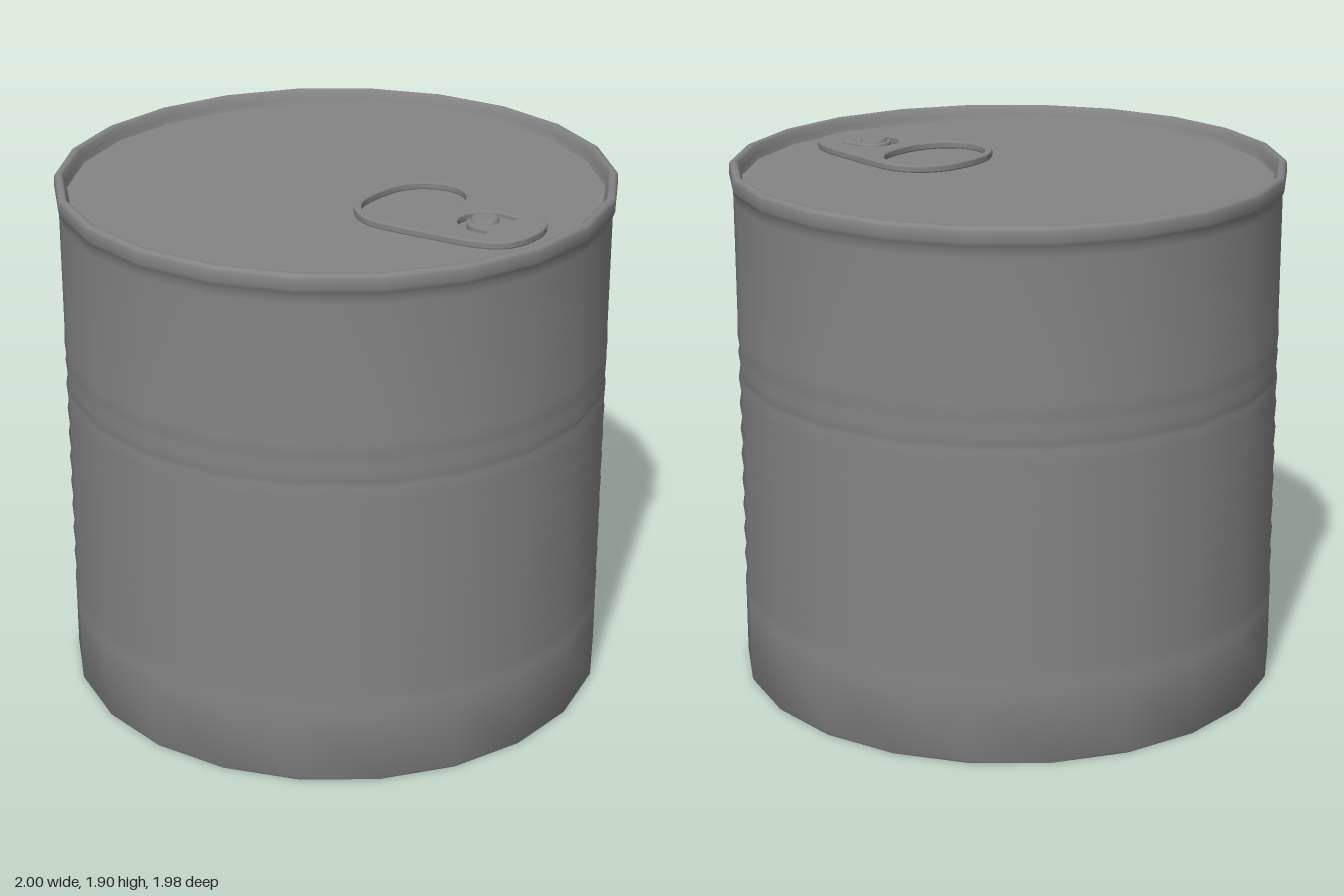
import * as THREE from 'three';
import { toCreasedNormals } from 'three/addons/utils/BufferGeometryUtils.js';

const SIDES = 22;
const LID_Y = 1.85;
const material = new THREE.MeshStandardMaterial({ color: 0x848484 });

function addMesh(group, name, geometry, crease = 0.8) {
  const mesh = new THREE.Mesh(toCreasedNormals(geometry, crease), material);
  mesh.name = name;
  group.add(mesh);
  return mesh;
}

// Revolve [radius, height] pairs, with a corner on the x axis
function revolve(profile, sides = SIDES) {
  const points = profile.map(([r, y]) => new THREE.Vector2(r, y));
  return new THREE.LatheGeometry(points, sides, Math.PI / 2);
}

// Closed smooth outline mirrored in x; half runs from the low to the high end on x > 0
function mirroredCurve(half) {
  const right = half.map(([x, y]) => new THREE.Vector2(x, y));
  const left = half.filter(([x]) => x > 0).reverse().map(([x, y]) => new THREE.Vector2(-x, y));
  return new THREE.SplineCurve([...right, ...left, right[0].clone()]).getPoints(56).slice(0, -1);
}

// Plate drawn in x and z, with its top face at the given height
function plate(shape, top, depth, bevel) {
  const geometry = new THREE.ExtrudeGeometry(shape, {
    depth: depth - 2 * bevel, bevelEnabled: true, bevelThickness: bevel,
    bevelSize: bevel, bevelOffset: -bevel, bevelSegments: 2, curveSegments: 12,
  });
  return geometry.rotateX(Math.PI / 2).translate(0, top - bevel, 0);
}

function createPullTab() {
  const tab = new THREE.Group();
  tab.name = 'pullTab';

  const outline = new THREE.Shape(mirroredCurve([
    [0, 0.175], [0.1, 0.187], [0.185, 0.235], [0.235, 0.32], [0.238, 0.42],
    [0.208, 0.59], [0.178, 0.74], [0.125, 0.83], [0.06, 0.862], [0, 0.867],
  ]));
  // Finger opening
  outline.holes.push(new THREE.Path(mirroredCurve([
    [0, 0.202], [0.1, 0.214], [0.175, 0.265], [0.207, 0.35],
    [0.185, 0.43], [0.11, 0.488], [0, 0.506],
  ])));
  // Curved slot around the rivet, with rounded ends
  const slot = new THREE.Path();
  slot.moveTo(0.1, 0.715);
  slot.absarc(0, 0.67, 0.1, 0, Math.PI, true);
  slot.absarc(-0.085, 0.715, 0.015, Math.PI, 0, true);
  slot.absarc(0, 0.67, 0.07, Math.PI, 0, false);
  slot.absarc(0.085, 0.715, 0.015, Math.PI, 0, true);
  outline.holes.push(slot);
  addMesh(tab, 'tabPlate', plate(outline, LID_Y + 0.03, 0.028, 0.006), 0.3);

  const rivet = addMesh(tab, 'rivet', revolve(
    [[0.05, 0], [0.05, 0.035], [0.043, 0.043], [0, 0.045]], 20));
  rivet.position.set(0, LID_Y, 0.66);
  return tab;
}

export function createModel() {
  const group = new THREE.Group();
  group.name = 'can';

  // Side wall: one row per ridge and groove, so the ripples shade softly
  const wall = [[0.965, 0.025], [0.968, 0], [0.985, 0], [0.99, 0.01], [0.99, 0.24]];
  const rows = 16, low = 0.3, high = 1.09;
  for (let i = 0; i <= rows; i++) {
    wall.push([i % 2 ? 0.983 : 0.991, low + (high - low) * i / rows]);
  }
  // Wider groove near the top of the ripples
  wall.push([0.984, 1.138], [0.984, 1.162], [0.99, 1.19], [0.984, 1.22], [0.991, 1.26], [0.988, 1.31]);
  // Rolled rim, continuing from the wall and down to the lid
  wall.push(
    [0.988, 1.8], [0.989, 1.83], [0.996, 1.842], [1, 1.855], [1, 1.89], [0.996, 1.9], [0.986, 1.905],
    [0.976, 1.905], [0.968, 1.898], [0.964, 1.87], [0.955, LID_Y],
  );
  addMesh(group, 'wallAndRim', revolve(wall));

  // Recessed base with a slight central step
  addMesh(group, 'base', revolve(
    [[0, 0.028], [0.53, 0.028], [0.545, 0.028], [0.56, 0.025], [0.58, 0.025], [0.966, 0.025]]));

  addMesh(group, 'lid', revolve([[0.957, LID_Y], [0, LID_Y]]));
  group.add(createPullTab());
  return group;
}
